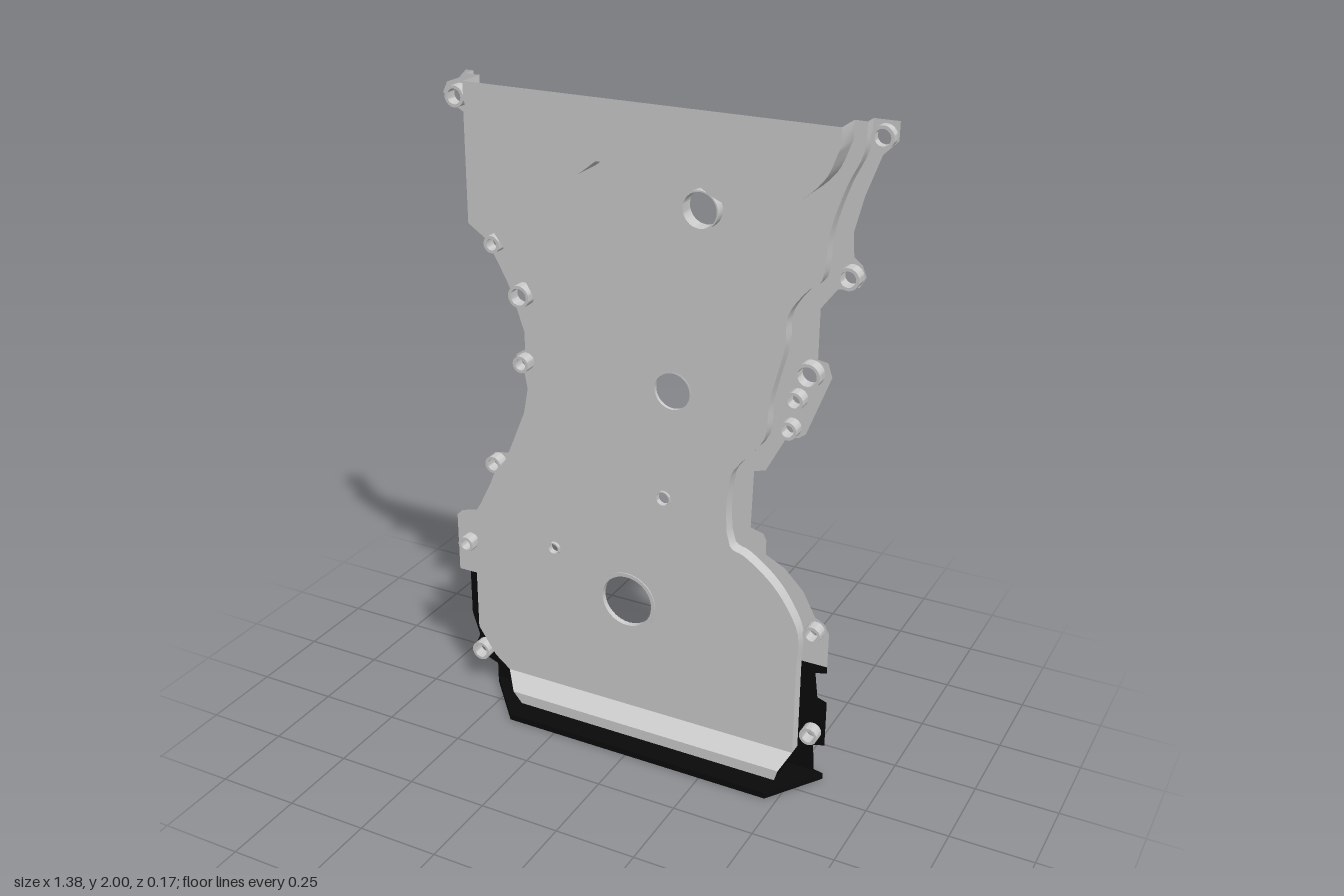
import * as THREE from 'three';
import { toCreasedNormals } from 'three/addons/utils/BufferGeometryUtils.js';

const BACK = -0.085, PANEL = -0.045, BULGE = 0.04;
const grey = new THREE.MeshStandardMaterial({ color: 0xcccccc, side: THREE.DoubleSide });
const black = new THREE.MeshStandardMaterial({ color: 0x0a0a0a, side: THREE.DoubleSide });

// Rounds a run of points with a centripetal spline
const smooth = (pts, n = 4) =>
  new THREE.CatmullRomCurve3(pts.map(([x, y]) => new THREE.Vector3(x, y, 0)), false, 'centripetal')
    .getPoints(n * (pts.length - 1)).map(p => [p.x, p.y]);

// Flat sheet with round holes [x, y, radius]
function sheet(pts, z, holes = []) {
  const shape = new THREE.Shape(pts.map(([x, y]) => new THREE.Vector2(x, y)));
  for (const [x, y, r] of holes) {
    const h = new THREE.Path();
    h.absarc(x, y, r, 0, Math.PI * 2, true);
    shape.holes.push(h);
  }
  return new THREE.ShapeGeometry(shape, 16).translate(0, 0, z);
}

// Skin through rows of [x, y, z] points
function loft(rows) {
  const n = rows[0].length, index = [];
  for (let r = 0; r < rows.length - 1; r++) for (let i = 0; i < n - 1; i++) {
    const a = r * n + i, b = a + n;
    index.push(a, b, a + 1, a + 1, b, b + 1);
  }
  const g = new THREE.BufferGeometry();
  g.setAttribute('position', new THREE.Float32BufferAttribute(rows.flat(2), 3));
  g.setIndex(index);
  return toCreasedNormals(g, 0.6);
}

// Upright wall along a path between two depths
const wall = (pts, z0, z1) => loft([z0, z1].map(z => pts.map(([x, y]) => [x, y, z])));

// Hollow round boss along z
function collar(x, y, r, R, z0, z1) {
  const profile = [[r, z0], [R, z0], [R, z1], [r, z1], [r, z0]].map(p => new THREE.Vector2(...p));
  return toCreasedNormals(new THREE.LatheGeometry(profile, 32), 0.6).rotateX(Math.PI / 2).translate(x, y, 0);
}

export function createModel() {
  const model = new THREE.Group();
  const add = (name, geometry, material = grey) => {
    const m = new THREE.Mesh(geometry, material);
    m.name = name;
    model.add(m);
  };

  // Edges of the raised panel, from the top down
  const innerLeft = [[-0.56, 2], ...smooth([[-0.55, 1.65], [-0.53, 1.615], [-0.44, 1.49], [-0.385, 1.42],
    [-0.36, 1.37], [-0.365, 1.27], [-0.345, 1.19], [-0.36, 1.13], [-0.38, 1.02], [-0.4, 0.96], [-0.45, 0.88],
    [-0.52, 0.77], [-0.57, 0.64], [-0.59, 0.55], [-0.6, 0.39]])];
  const innerRight = smooth([[0.615, 2], [0.61, 1.92], [0.57, 1.83], [0.53, 1.7], [0.515, 1.57], [0.48, 1.54],
    [0.425, 1.46], [0.42, 1.37], [0.38, 1.2], [0.37, 1.09], [0.3, 1], [0.27, 0.95], [0.275, 0.73], [0.32, 0.71],
    [0.4, 0.65], [0.45, 0.59], [0.495, 0.5], [0.495, 0.39]]);
  const lowLeft = [[-0.6, 0.39], [-0.6, 0.22], [-0.54, 0.13], [-0.49, 0.09]];
  const lowRight = [[0.495, 0.39], [0.495, 0.09]];
  const left = [...innerLeft, ...lowLeft.slice(1)], right = [...innerRight, ...lowRight.slice(1)];

  // Outline of the two-lobed bulge at the top
  const lobes = [[-0.515, 2],
    ...smooth([[-0.515, 1.95], [-0.47, 1.84], [-0.39, 1.78], [-0.28, 1.755], [-0.175, 1.78], [-0.105, 1.83]], 5),
    ...smooth([[0.165, 1.83], [0.235, 1.78], [0.33, 1.755], [0.44, 1.78], [0.54, 1.86], [0.58, 1.95]], 5),
    [0.58, 2]];

  // Main panel with its openings
  const ports = [[0.175, 1.72, 0.05], [0.085, 1.175, 0.055], [0.06, 0.835, 0.02],
    [-0.31, 0.58, 0.016], [-0.06, 0.46, 0.083]];
  add('panel', sheet([...left, ...right.slice().reverse(), ...lobes.slice().reverse()], PANEL, ports));
  add('leftPanelWall', wall(left, BACK, PANEL));
  add('rightPanelWall', wall(right, BACK, PANEL));
  add('bulgeFace', sheet(lobes, BULGE));
  add('bulgeWall', wall(lobes, PANEL, BULGE));
  const portDepth = [[-0.06, -0.015], [-0.055, -0.044], [-0.055, -0.038], [-0.055, -0.035], [-0.06, -0.042]];
  ports.forEach(([x, y, r], i) => add('portCollar', collar(x, y, r, r + (r > 0.08 ? 0.012 : 0.004), ...portDepth[i])));

  // Thin bolt flange on each side
  const boltsLeft = [[-0.605, 1.93, 0.022], [-0.5, 1.515, 0.017], [-0.415, 1.37, 0.025], [-0.415, 1.16, 0.017],
    [-0.525, 0.81, 0.018], [-0.64, 0.505, 0.017]];
  const boltsRight = [[0.65, 1.96, 0.022], [0.585, 1.585, 0.022], [0.485, 1.295, 0.028], [0.45, 1.215, 0.018],
    [0.435, 1.125, 0.018], [0.535, 0.505, 0.018]];
  const outerLeft = [[-0.585, 2], [-0.61, 1.975], [-0.65, 1.96], [-0.665, 1.93], [-0.645, 1.905], [-0.6, 1.88],
    [-0.6, 1.555], [-0.54, 1.515], [-0.52, 1.48], [-0.475, 1.4], [-0.457, 1.36], [-0.45, 1.335], [-0.42, 1.25],
    [-0.42, 1.195], [-0.45, 1.175], [-0.45, 1.145], [-0.425, 1.125], [-0.415, 1.07], [-0.43, 0.99], [-0.475, 0.88],
    [-0.49, 0.845], [-0.54, 0.835], [-0.555, 0.805], [-0.54, 0.775], [-0.56, 0.725], [-0.6, 0.645],
    [-0.615, 0.62], [-0.67, 0.605], [-0.69, 0.585], [-0.69, 0.39]];
  const outerRight = [[0.685, 2], [0.685, 1.95], [0.645, 1.91], [0.605, 1.8], [0.58, 1.7], [0.585, 1.635],
    [0.61, 1.615], [0.622, 1.585], [0.605, 1.555], [0.545, 1.54], [0.5, 1.48], [0.5, 1.335], [0.53, 1.33],
    [0.543, 1.29], [0.475, 1.11], [0.455, 1.095], [0.42, 1.09], [0.36, 0.975], [0.325, 0.965], [0.32, 0.785],
    [0.36, 0.775], [0.37, 0.755], [0.37, 0.71], [0.43, 0.68], [0.49, 0.62], [0.53, 0.545], [0.56, 0.53],
    [0.575, 0.5], [0.575, 0.39]];
  add('leftFlange', sheet([...outerLeft, ...innerLeft.slice().reverse()], BACK, boltsLeft));
  add('rightFlange', sheet([...outerRight, ...innerRight.slice().reverse()], BACK, boltsRight));

  // Dark lower flange
  const lowBoltLeft = [-0.6, 0.125, 0.022], lowBoltRight = [0.54, 0.16, 0.019];
  add('lowerLeftFlange', sheet([[-0.65, 0.39], [-0.65, 0.24], [-0.625, 0.16], [-0.64, 0.125], [-0.63, 0.1],
    [-0.6, 0.085], [-0.56, 0.07], [-0.56, 0], [-0.41, 0], [-0.41, 0.02], [-0.44, 0.055],
    ...lowLeft.slice().reverse()], BACK, [lowBoltLeft]), black);
  add('lowerRightFlange', sheet([[0.575, 0.39], [0.575, 0.37], [0.54, 0.36], [0.55, 0.28], [0.58, 0.27], [0.58, 0.12],
    [0.545, 0.11], [0.55, 0.025], [0.58, 0.02], [0.58, 0], [0.465, 0], [0.465, 0.02], [0.475, 0.055],
    ...lowRight.slice().reverse()], BACK, [lowBoltRight]), black);

  // Bolt bosses
  for (const [x, y, r] of [...boltsLeft, ...boltsRight, lowBoltLeft, lowBoltRight])
    add('boltBoss', collar(x, y, r, r + 0.009, BACK, y > 1.95 ? -0.06 : -0.048));

  // Sloped skirt below the panel, with closed ends: [y, z, left x, right x]
  const skirt = [[0.09, PANEL, -0.49, 0.495], [0.055, 0.015, -0.44, 0.475], [0.02, 0.015, -0.41, 0.465]];
  add('skirt', loft(skirt.map(([y, z, a, b]) => [[a, y, z], [b, y, z]])));
  add('skirtLeftEnd', loft(skirt.map(([y, z, a]) => [[a, y, BACK], [a, y, z]])), black);
  add('skirtRightEnd', loft(skirt.map(([y, z, , b]) => [[b, y, BACK], [b, y, z]])), black);

  // Tapered bottom plate
  const plate = new THREE.Shape([[-0.56, 0.085], [0.58, 0.085], [0.465, -0.085], [-0.41, -0.085]]
    .map(p => new THREE.Vector2(...p)));
  add('bottomPlate', new THREE.ExtrudeGeometry(plate, { depth: 0.02, bevelEnabled: false })
    .rotateX(-Math.PI / 2), black);

  return model;
}
